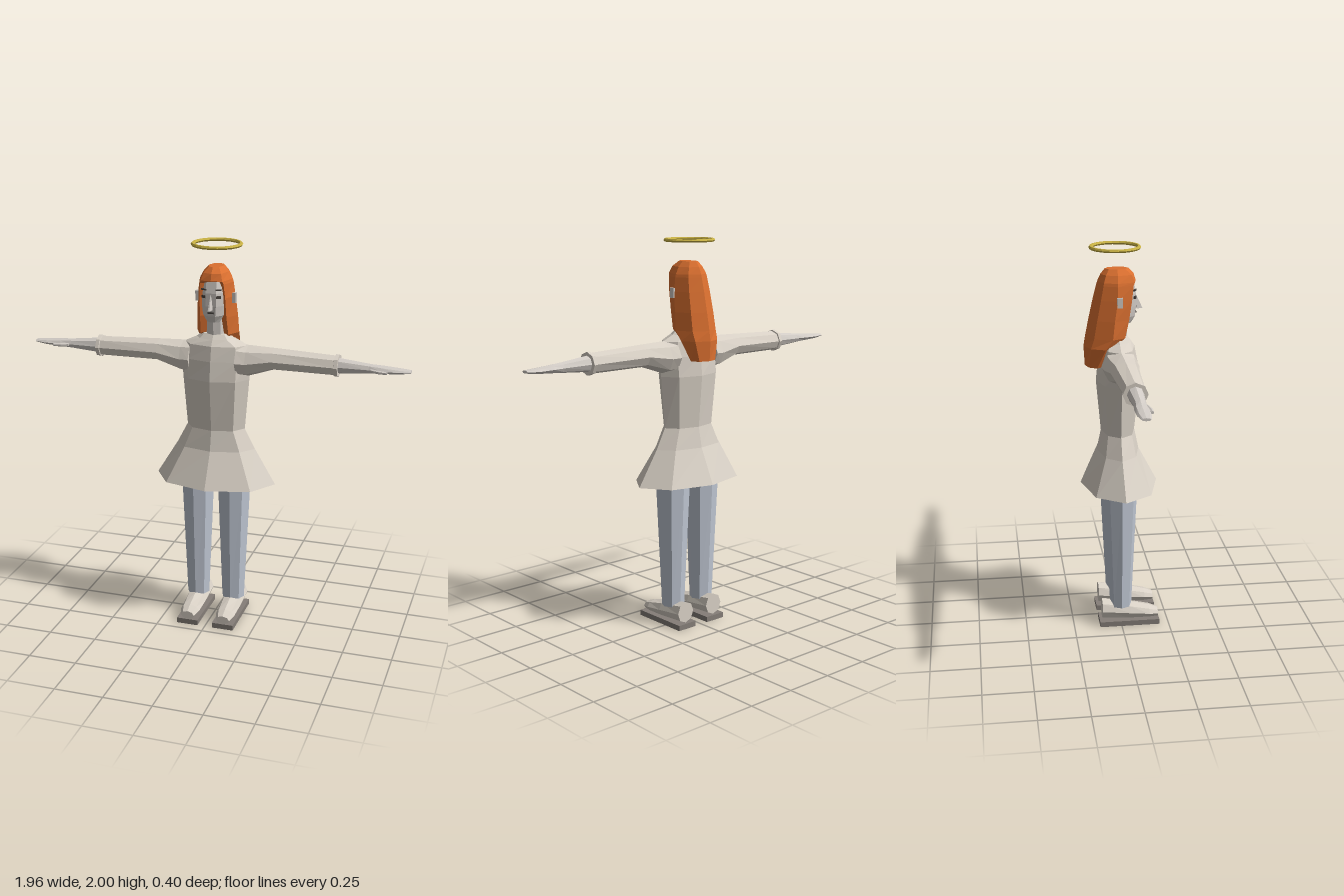
import * as THREE from 'three';

const mat = (name, color, extra = {}) =>
  Object.assign(new THREE.MeshStandardMaterial({ color, flatShading: true, ...extra }), { name });

// Skin a list of closed rings (arrays of Vector3) and cap both ends.
function loft(rings) {
  const pos = [];
  const tri = (a, b, c) => pos.push(...a.toArray(), ...b.toArray(), ...c.toArray());
  const n = rings[0].length;
  for (let r = 0; r + 1 < rings.length; r++) {
    const A = rings[r], B = rings[r + 1];
    for (let i = 0; i < n; i++) {
      const j = (i + 1) % n;
      tri(A[i], A[j], B[j]);
      tri(A[i], B[j], B[i]);
    }
  }
  for (const [ring, top] of [[rings[0], false], [rings.at(-1), true]]) {
    const mid = ring.reduce((s, p) => s.add(p), new THREE.Vector3()).divideScalar(n);
    for (let i = 0; i < n; i++) {
      const j = (i + 1) % n;
      top ? tri(mid, ring[i], ring[j]) : tri(mid, ring[j], ring[i]);
    }
  }
  const g = new THREE.BufferGeometry();
  g.setAttribute('position', new THREE.Float32BufferAttribute(pos, 3));
  g.computeVertexNormals();
  return g;
}

// Elliptic polygon rings along an axis: each row is [along, u centre, u radius, v centre, v radius].
// Axis y: u = x, v = z.  Axis x: u = z, v = y.  Axis z: u = y, v = x.
function tube(axis, rows, sides = 8, turn = 0) {
  const sorted = [...rows].sort((a, b) => a[0] - b[0]);
  return loft(sorted.map(([t, uc, ur, vc, vr]) =>
    Array.from({ length: sides }, (_, i) => {
      const a = turn + (i / sides) * Math.PI * 2;
      const u = uc + ur * Math.sin(a), v = vc + vr * Math.cos(a);
      return axis === 'y' ? new THREE.Vector3(u, t, v)
        : axis === 'x' ? new THREE.Vector3(t, v, u)
          : new THREE.Vector3(v, u, t);
    })));
}

export function createModel() {
  const model = new THREE.Group();
  const cloth = mat('cream cloth', 0xd9d1c6);
  const skin = mat('pale skin', 0xd2ccc6);
  const denim = mat('blue grey trousers', 0xbfc6d2);
  const orange = mat('orange hair', 0xdb7030);
  const gold = mat('gold', 0xc9b244);
  const soleGrey = mat('sole grey', 0x857e78);
  const dark = mat('dark features', 0x4a4440);

  const add = (name, geometry, material, x = 0, y = 0, z = 0) => {
    const m = new THREE.Mesh(geometry, material);
    m.name = name;
    m.position.set(x, y, z);
    model.add(m);
    return m;
  };

  // Dress: flared skirt, waist, chest, shoulders, neckline
  add('dress', tube('y', [
    [0.77, 0, 0.318, 0, 0.198],
    [0.95, 0, 0.208, -0.005, 0.108],
    [1.055, 0, 0.153, -0.005, 0.086],
    [1.32, 0, 0.175, -0.003, 0.112],
    [1.42, 0, 0.18, -0.005, 0.1],
    [1.495, 0, 0.165, -0.005, 0.085],
    [1.525, 0, 0.1, -0.005, 0.065],
    [1.55, 0, 0.072, -0.005, 0.045],
  ]), cloth);

  // Neck and head
  add('neck', tube('y', [[1.5, 0, 0.05, 0, 0.042], [1.68, 0, 0.045, 0.005, 0.042]]), skin);
  add('head', tube('y', [
    [1.615, 0, 0.034, 0.035, 0.028],
    [1.65, 0, 0.056, 0.02, 0.065],
    [1.7, 0, 0.068, 0.005, 0.086],
    [1.765, 0, 0.072, 0, 0.092],
    [1.83, 0, 0.066, -0.01, 0.088],
    [1.86, 0, 0.04, -0.01, 0.05],
  ], 8, Math.PI / 8), skin);
  const nose = new THREE.ConeGeometry(0.017, 0.085, 4).rotateY(Math.PI / 4);
  const np = nose.attributes.position;
  for (let i = 0; i < np.count; i++) {
    // the bridge leans back into the face
    if (np.getY(i) > 0) np.setZ(i, -0.022);
    else if (np.getZ(i) > 0.005) np.setXYZ(i, np.getX(i) * 0.4, np.getY(i), 0.018);
  }
  add('nose', nose, skin, 0, 1.727, 0.102);
  add('mouth', new THREE.BoxGeometry(0.032, 0.008, 0.009), dark, 0, 1.668, 0.083);

  // Hair: rows of [y, edge x, edge z, side x, side z, back z, front middle z]
  const hairRows = [
    [1.4, 0.05, -0.085, 0.075, -0.115, -0.17, -0.085],
    [1.5, 0.075, -0.035, 0.105, -0.075, -0.176, -0.06],
    [1.55, 0.072, 0.025, 0.11, -0.04, -0.168, -0.02],
    [1.64, 0.068, 0.045, 0.106, -0.03, -0.15, 0],
    [1.74, 0.066, 0.06, 0.098, -0.015, -0.128, 0],
    [1.81, 0.06, 0.068, 0.088, -0.012, -0.11, 0.03],
    [1.825, 0.055, 0.075, 0.084, -0.012, -0.106, 0.086],
    [1.86, 0.045, 0.06, 0.064, -0.01, -0.09, 0.075],
    [1.887, 0.026, 0.03, 0.038, -0.01, -0.068, 0.05],
  ];
  add('hair', loft(hairRows.map(([y, ex, ez, w, m, b, f]) => {
    const half = [[ex, ez], [w, m], [w * 0.7, m + (b - m) * 0.7]];
    return [[0, f], ...half, [0, b], ...half.reverse().map(([x, z]) => [-x, z])]
      .map(([x, z]) => new THREE.Vector3(x, y, z));
  })), orange);

  // Halo
  add('halo', new THREE.TorusGeometry(0.119, 0.01, 6, 20).rotateX(Math.PI / 2).scale(1, 0.9, 1),
    gold, 0, 1.991, -0.018);

  for (const [side, s] of [['left', 1], ['right', -1]]) {
    const along = rows => rows.map(([t, ...rest]) => [s * t, ...rest]);

    // Arms
    add(side + 'Sleeve', tube('x', along([
      [0.12, -0.005, 0.095, 1.42, 0.082],
      [0.17, -0.005, 0.088, 1.418, 0.08],
      [0.3, -0.003, 0.071, 1.438, 0.056],
      [0.61, 0, 0.054, 1.432, 0.05],
      [0.612, 0, 0.06, 1.432, 0.057],
      [0.63, 0, 0.06, 1.432, 0.057],
    ])), cloth);
    add(side + 'Hand', tube('x', along([
      [0.6, 0, 0.042, 1.433, 0.042],
      [0.78, 0, 0.03, 1.43, 0.025],
      [0.84, -0.002, 0.035, 1.43, 0.02],
      [0.92, -0.002, 0.033, 1.429, 0.014],
      [0.982, -0.002, 0.022, 1.431, 0.007],
    ])), skin);
    add(side + 'Thumb', tube('x', along([
      [0.79, 0.028, 0.01, 1.428, 0.009],
      [0.83, 0.038, 0.011, 1.426, 0.009],
      [0.872, 0.041, 0.008, 1.425, 0.007],
    ]), 6), skin);

    // Legs
    add(side + 'TrouserLeg', tube('y', [
      [0.105, s * 0.097, 0.06, 0, 0.056],
      [0.77, s * 0.098, 0.088, -0.002, 0.087],
      [0.9, s * 0.085, 0.08, -0.002, 0.085],
    ]), denim);

    // Shoes
    add(side + 'Shoe', tube('z', [
      [-0.1, 0.085, 0.056, s * 0.097, 0.052],
      [0.05, 0.07, 0.046, s * 0.097, 0.054],
      [0.15, 0.058, 0.032, s * 0.097, 0.05],
      [0.196, 0.05, 0.022, s * 0.097, 0.036],
    ]), cloth);
    add(side + 'Sole', new THREE.BoxGeometry(0.114, 0.028, 0.315), soleGrey, s * 0.097, 0.014, 0.043);

    // Face details
    add(side + 'Eye', new THREE.BoxGeometry(0.024, 0.013, 0.009), dark, s * 0.037, 1.747, 0.078)
      .rotation.y = s * 0.4;
    add(side + 'Eyebrow', new THREE.BoxGeometry(0.03, 0.007, 0.009), dark, s * 0.037, 1.783, 0.077)
      .rotation.y = s * 0.4;
    add(side + 'Ear', new THREE.BoxGeometry(0.022, 0.05, 0.028), skin, s * 0.093, 1.733, -0.004);
  }
  return model;
}
